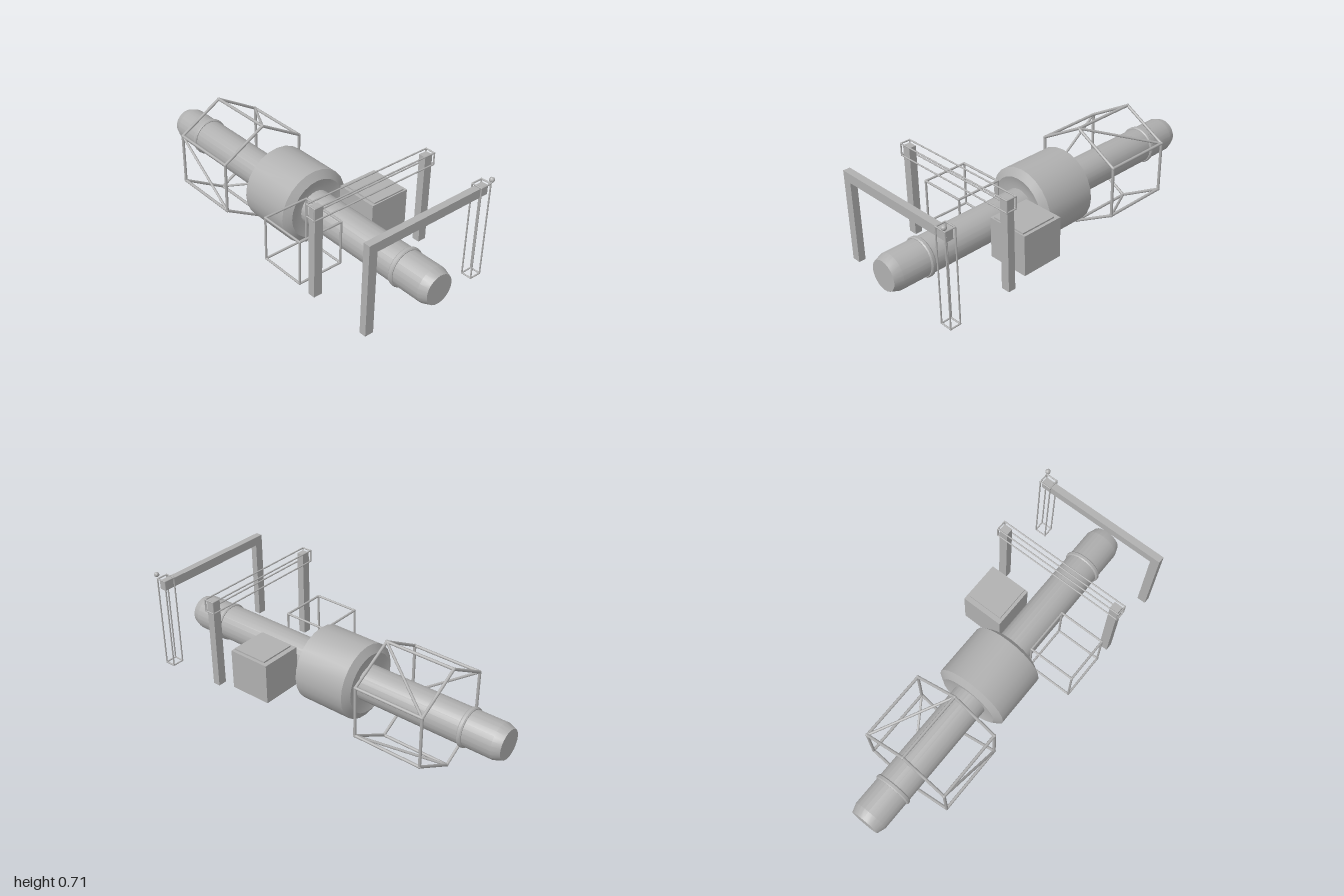
import * as THREE from 'three';
import { toCreasedNormals } from 'three/addons/utils/BufferGeometryUtils.js';

const grey = new THREE.MeshStandardMaterial({ color: 0xb0b0b0 });
grey.name = 'hull grey';
const AXIS_Y = 0.294;

function add(parent, name, geometry, x = 0, y = 0, z = 0) {
  const mesh = new THREE.Mesh(geometry, grey);
  mesh.name = name;
  mesh.position.set(x, y, z);
  parent.add(mesh);
  return mesh;
}

function group(parent, name) {
  const g = new THREE.Group();
  g.name = name;
  parent.add(g);
  return g;
}

// Solid of revolution along z; profile is [radius, z] from back to front
function turned(parent, name, profile, segments = 24) {
  const points = profile.map(([r, z]) => new THREE.Vector2(r, z));
  const geometry = toCreasedNormals(new THREE.LatheGeometry(points, segments).rotateX(Math.PI / 2), 0.4);
  return add(parent, name, geometry, 0, AXIS_Y, 0);
}

// Box given by its opposite corners
function block(parent, name, a, b) {
  const s = a.map((v, i) => b[i] - v);
  const c = a.map((v, i) => (b[i] + v) / 2);
  return add(parent, name, new THREE.BoxGeometry(...s), ...c);
}

// Round bar between two points
function strut(parent, a, b, radius) {
  const dir = b.clone().sub(a);
  const bar = add(parent, 'strut', new THREE.CylinderGeometry(radius, radius, dir.length(), 8));
  bar.position.copy(a).add(b).multiplyScalar(0.5);
  bar.quaternion.setFromUnitVectors(new THREE.Vector3(0, 1, 0), dir.normalize());
}

function joint(parent, p, radius) {
  add(parent, 'joint', new THREE.SphereGeometry(radius, 8, 6), p.x, p.y, p.z);
}

// Twelve-edged wire box given by its opposite corners
function wireBox(parent, name, a, b, radius) {
  const g = group(parent, name);
  const corner = i => new THREE.Vector3(...[0, 1, 2].map(k => ((i >> k) & 1 ? b : a)[k]));
  for (let i = 0; i < 8; i++) {
    joint(g, corner(i), radius * 1.15);
    for (let k = 0; k < 3; k++) {
      if (!((i >> k) & 1)) strut(g, corner(i), corner(i | (1 << k)), radius);
    }
  }
}

export function createModel() {
  const model = new THREE.Group();
  model.name = 'spaceStation';

  // Long central tube with tapered ends and a collar near each end
  turned(model, 'mainTube', [[0, -1], [0.08, -1], [0.096, -0.955], [0.096, 0.955], [0.08, 1], [0, 1]]);
  for (const z of [-0.785, 0.785]) {
    turned(model, 'collar', [
      [0.09, z - 0.013], [0.1, z - 0.013], [0.105, z - 0.007],
      [0.105, z + 0.007], [0.1, z + 0.013], [0.09, z + 0.013],
    ]);
  }

  // Wide drum with bevelled rims
  turned(model, 'drum', [
    [0.09, -0.18], [0.125, -0.18], [0.165, -0.193], [0.207, -0.167],
    [0.207, 0.13], [0.165, 0.157], [0.125, 0.144], [0.09, 0.144],
  ]);

  // Hexagonal cage with a brace across every second side
  const cage = group(model, 'hexCage');
  const zFront = -0.287, zBack = -0.675;
  const corner = (i, z) => {
    const t = (i * Math.PI) / 3;
    return new THREE.Vector3(0.284 * Math.sin(t), AXIS_Y + 0.284 * Math.cos(t), z);
  };
  for (let i = 0; i < 6; i++) {
    for (const z of [zFront, zBack]) {
      strut(cage, corner(i, z), corner(i + 1, z), 0.008);
      joint(cage, corner(i, z), 0.0095);
    }
    strut(cage, corner(i, zFront), corner(i, zBack), 0.008);
    if (i % 2 === 0) strut(cage, corner(i, zFront), corner(i + 1, zBack), 0.007);
  }

  // Side modules: open frame on one side, closed box with a lid on the other
  wireBox(model, 'openFrame', [-0.361, 0.175, 0.195], [-0.105, 0.417, 0.452], 0.006);
  block(model, 'cargoBox', [0.111, 0.183, 0.203], [0.345, 0.407, 0.441]);
  block(model, 'cargoLid', [0.128, 0.407, 0.23], [0.328, 0.415, 0.434]);

  // Middle gantry: two posts under a wire truss
  const middle = group(model, 'middleGantry');
  for (const x of [-0.346, 0.344]) {
    block(middle, 'post', [x - 0.024, 0.167, 0.526], [x + 0.024, 0.662, 0.567]);
  }
  wireBox(middle, 'truss', [-0.378, 0.607, 0.519], [0.374, 0.671, 0.574], 0.004);

  // Front gantry: post and beam, with a wire tower and a beacon at the far end
  const front = group(model, 'frontGantry');
  block(front, 'post', [-0.37, 0.167, 0.879], [-0.322, 0.662, 0.916]);
  block(front, 'beam', [-0.322, 0.613, 0.879], [0.368, 0.662, 0.916]);
  wireBox(front, 'tower', [0.311, 0.157, 0.87], [0.374, 0.671, 0.926], 0.004);
  add(front, 'beacon', toCreasedNormals(new THREE.IcosahedronGeometry(0.014, 1), 0.1), 0.373, 0.695, 0.93);

  return model;
}
